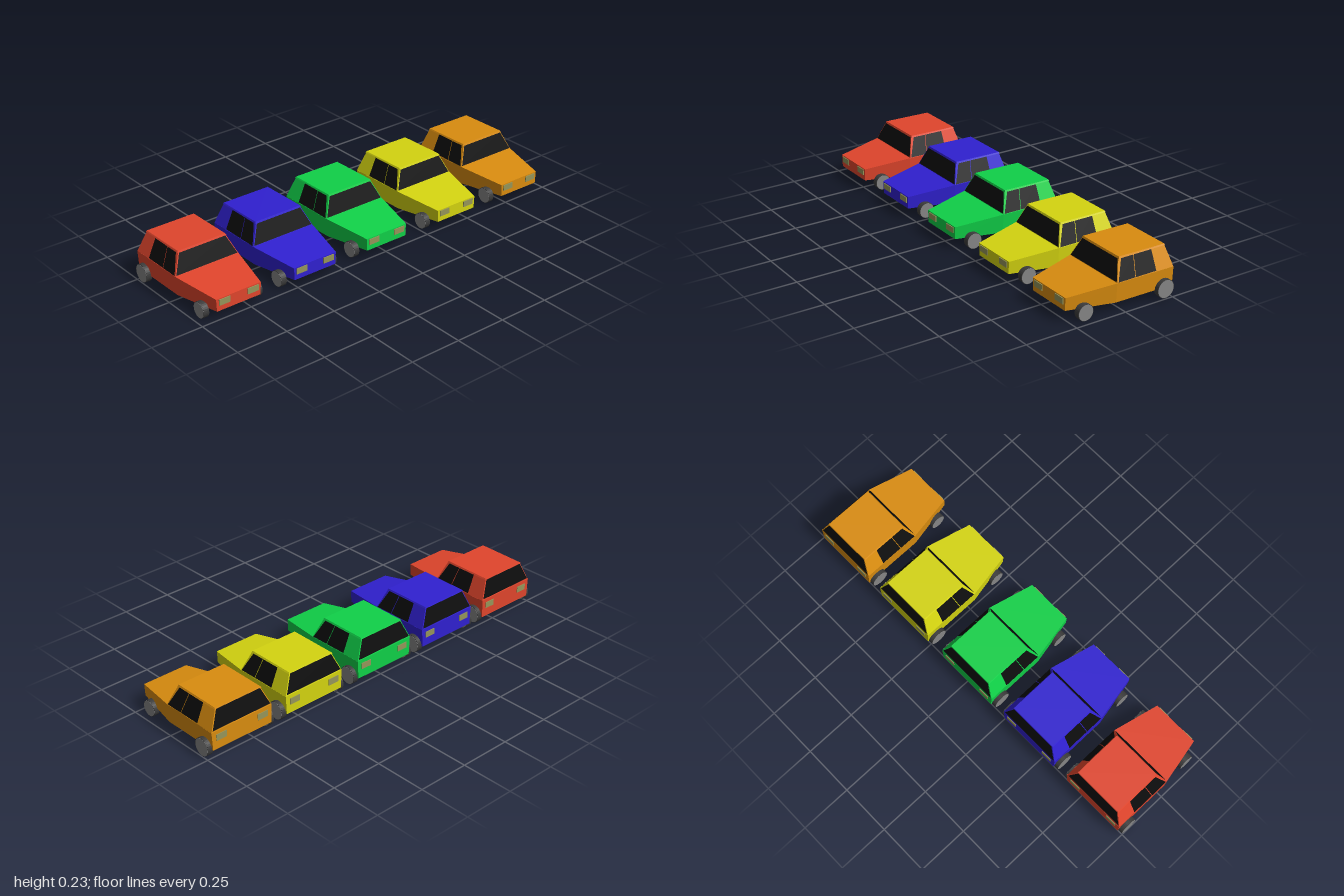
import * as THREE from 'three';

const mat = (color) => new THREE.MeshStandardMaterial({ color, flatShading: true });

// Flat-shaded mesh from quads; corners run counter-clockwise seen from outside
function quadMesh(name, quads, material) {
  const pos = [];
  for (const [a, b, c, d] of quads) pos.push(...a, ...b, ...c, ...a, ...c, ...d);
  const geo = new THREE.BufferGeometry();
  geo.setAttribute('position', new THREE.Float32BufferAttribute(pos, 3));
  geo.computeVertexNormals();
  const mesh = new THREE.Mesh(geo, material);
  mesh.name = name;
  return mesh;
}

// Section: left/right corners at the bottom and top of one station along z
const section = (zb, yb, wb, zt, yt, wt) => ({
  bl: [wb, yb, zb], br: [-wb, yb, zb], tl: [wt, yt, zt], tr: [-wt, yt, zt],
});

// Loft from front to back, optionally leaving the underside open
function loft(name, sections, material, bottom = true) {
  const quads = [];
  const f = sections[0], r = sections[sections.length - 1];
  quads.push([f.br, f.bl, f.tl, f.tr], [r.bl, r.br, r.tr, r.tl]);
  for (let i = 0; i + 1 < sections.length; i++) {
    const a = sections[i], b = sections[i + 1];
    quads.push([a.bl, b.bl, b.tl, a.tl], [b.br, a.br, a.tr, b.tr], [a.tr, a.tl, b.tl, b.tr]);
    if (bottom) quads.push([a.bl, a.br, b.br, b.bl]);
  }
  return quadMesh(name, quads, material);
}

function wheel(name, x, y, z, r, width, tyreMat, hubMat) {
  const g = new THREE.Group();
  g.name = name;
  const tyre = new THREE.Mesh(new THREE.CylinderGeometry(r, r, width, 28), tyreMat);
  tyre.name = 'tyre';
  const hub = new THREE.Mesh(new THREE.CylinderGeometry(r * 0.95, r * 0.95, width + 0.002, 28), hubMat);
  hub.name = 'wheelDisc';
  g.add(tyre, hub);
  g.rotation.z = Math.PI / 2;
  g.position.set(x, y, z);
  return g;
}

function createCar(name, color) {
  const car = new THREE.Group();
  car.name = name;
  const paint = mat(color), glass = mat(0x0c0c0c), dark = mat(0x383838);
  const lamp = mat(0x96965a), tyre = mat(0x3c3c3c), disc = mat(0x858585);

  // Lower body, narrowing towards the nose
  const body = [
    section(0.262, 0.052, 0.112, 0.262, 0.111, 0.115),
    section(0.035, 0.045, 0.158, 0.035, 0.135, 0.163),
    section(-0.262, 0.043, 0.158, -0.262, 0.132, 0.163),
  ];
  car.add(loft('lowerBody', body, paint, false));
  car.add(quadMesh('underside', [0, 1].map((i) =>
    [body[i].bl, body[i].br, body[i + 1].br, body[i + 1].bl]), dark));

  // Cabin and roof panel
  car.add(loft('cabin', [
    section(0.035, 0.134, 0.163, 0.002, 0.226, 0.122),
    section(-0.262, 0.131, 0.163, -0.24, 0.224, 0.122),
  ], paint));
  car.add(loft('roof', [
    section(0.003, 0.223, 0.126, 0, 0.231, 0.122),
    section(-0.242, 0.222, 0.126, -0.24, 0.228, 0.122),
  ], paint));

  // Windscreen and rear window lie just outside the sloping cabin ends
  const e = 0.0015;
  car.add(quadMesh('windscreen', [[
    [-0.158, 0.138, 0.0336 + e], [0.158, 0.138, 0.0336 + e],
    [0.119, 0.223, 0.0031 + e], [-0.119, 0.223, 0.0031 + e]]], glass));
  car.add(quadMesh('rearWindow', [[
    [0.156, 0.138, -0.2604 - e], [-0.156, 0.138, -0.2604 - e],
    [-0.118, 0.222, -0.2405 - e], [0.118, 0.222, -0.2405 - e]]], glass));

  // Side windows follow the inward lean of the cabin
  const lean = (y) => 0.163 - (y - 0.132) * (0.041 / 0.092) + 0.0025;
  const panes = {
    frontSideWindow: [0.029, -0.058, -0.073, -0.010],
    rearSideWindow: [-0.061, -0.169, -0.168, -0.076],
  };
  for (const s of [1, -1]) {
    const side = s > 0 ? 'left' : 'right';
    for (const [label, [z0, z1, z2, z3]] of Object.entries(panes)) {
      const q = [[0.137, z0], [0.137, z1], [0.223, z2], [0.223, z3]]
        .map(([y, z]) => [s * lean(y), y, z]);
      car.add(quadMesh(`${side}_${label}`, [s > 0 ? q : q.reverse()], glass));
    }

    // Lamps at both ends
    const head = new THREE.Mesh(new THREE.BoxGeometry(0.057, 0.028, 0.01), lamp);
    head.name = `${side}_headlight`;
    head.position.set(s * 0.073, 0.092, 0.261);
    const tail = new THREE.Mesh(new THREE.BoxGeometry(0.055, 0.03, 0.01), lamp);
    tail.name = `${side}_tailLight`;
    tail.position.set(s * 0.112, 0.1, -0.26);
    car.add(head, tail);

    car.add(wheel(`${side}_frontWheel`, s * 0.138, 0.038, 0.184, 0.038, 0.027, tyre, disc));
    car.add(wheel(`${side}_rearWheel`, s * 0.166, 0.047, -0.2125, 0.043, 0.027, tyre, disc));
  }
  return car;
}

export function createModel() {
  const model = new THREE.Group();
  model.name = 'carRow';
  const cars = [
    ['redCar', 0xe0452c, -0.82], ['blueCar', 0x3020d0, -0.414], ['greenCar', 0x10d048, -0.008],
    ['yellowCar', 0xd4d410, 0.415], ['orangeCar', 0xd98c0f, 0.82],
  ];
  for (const [name, color, x] of cars) {
    const car = createCar(name, color);
    car.position.x = x;
    model.add(car);
  }
  return model;
}
